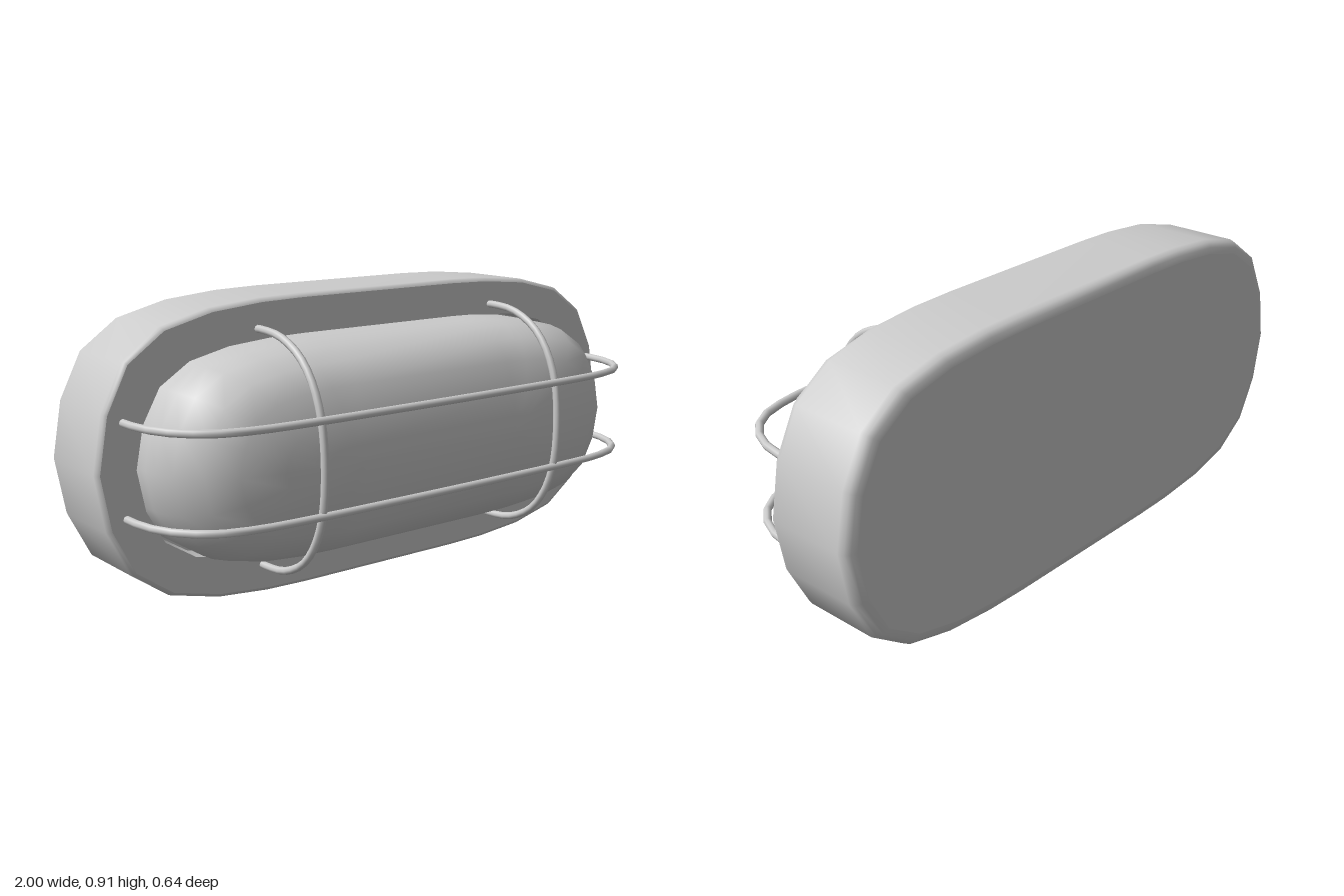
import * as THREE from 'three';
import { mergeGeometries } from 'three/addons/utils/BufferGeometryUtils.js';

const CY = 0.457; // height of the long axis
const FLAT = 0.3; // half length of the straight middle
const material = new THREE.MeshStandardMaterial({ color: 0xcccccc });

// quarter of the rounded end, in units of the end's own size
const QUARTER = [[1, 0], [0.957, 0.374], [0.857, 0.68], [0.686, 0.868], [0.457, 0.957], [0.21, 0.992], [0, 1]];

// closed outline, counter-clockwise seen from the front
function outline(rx, ry, z) {
  const q = QUARTER.map(([u, v]) => [FLAT + u * (rx - FLAT), v * ry]);
  const upper = [...q, ...q.slice().reverse().map(([x, y]) => [-x, y])];
  const lower = upper.slice(1, -1).reverse().map(([x, y]) => [x, -y]);
  return [...upper, ...lower].map(([x, y]) => [x, CY + y, z]);
}

// smooth skin through a list of [half width, half height, z] sections
function loft(sections) {
  const rings = sections.map((s) => outline(...s));
  const n = rings[0].length;
  const index = [];
  for (let i = 0; i < rings.length - 1; i++) {
    for (let j = 0; j < n; j++) {
      const a = i * n + j, b = i * n + (j + 1) % n;
      index.push(a, b, b + n, a, b + n, a + n);
    }
  }
  const g = new THREE.BufferGeometry();
  g.setAttribute('position', new THREE.Float32BufferAttribute(rings.flat(2), 3));
  g.setIndex(index);
  g.computeVertexNormals();
  return g;
}

function add(group, name, geometry) {
  const mesh = new THREE.Mesh(geometry, material);
  mesh.name = name;
  group.add(mesh);
}

// symmetric wire hoop: half profile of [distance from middle, z], ending at the middle
function hoop(half, place) {
  const pts = [...half, ...half.slice(0, -1).reverse().map(([d, z]) => [-d, z])];
  const curve = new THREE.CatmullRomCurve3(pts.map(([d, z]) => place(d, z)), false, 'centripetal');
  return new THREE.TubeGeometry(curve, 32, 0.012, 8);
}

export function createModel() {
  const group = new THREE.Group();

  // housing: flat back, rounded edges, front rim and a shallow recess for the lens
  add(group, 'housing', mergeGeometries([
    loft([[FLAT, 0, -0.32], [0.96, 0.415, -0.32]]),
    loft([[0.96, 0.415, -0.32], [0.98, 0.435, -0.316], [0.994, 0.449, -0.304], [1, 0.455, -0.285],
      [1, 0.455, -0.04], [0.997, 0.452, -0.027], [0.988, 0.443, -0.022]]),
    loft([[0.988, 0.443, -0.022], [0.876, 0.335, -0.022]]),
    loft([[0.876, 0.335, -0.022], [0.87, 0.33, -0.08]]),
    loft([[0.87, 0.33, -0.08], [0.85, 0.31, -0.08]]),
  ]));

  // domed lens
  add(group, 'lens', loft([
    [0.862, 0.326, -0.09], [0.862, 0.326, 0], [0.858, 0.324, 0.05], [0.838, 0.314, 0.115],
    [0.783, 0.28, 0.19], [0.7, 0.217, 0.24], [0.57, 0.12, 0.272], [0.43, 0.05, 0.283], [FLAT, 0, 0.285],
  ]));

  // wire guard: two long hoops and two short ones
  const long = [[0.912, -0.04], [0.912, 0.02], [0.9, 0.1], [0.86, 0.185], [0.79, 0.25],
    [0.68, 0.285], [0.5, 0.299], [0.25, 0.304], [0, 0.306]];
  const short = [[0.362, -0.04], [0.362, 0.02], [0.351, 0.1], [0.307, 0.19],
    [0.24, 0.25], [0.14, 0.292], [0, 0.306]];
  for (const s of [1, -1]) {
    add(group, s > 0 ? 'upperGuardWire' : 'lowerGuardWire',
      hoop(long, (d, z) => new THREE.Vector3(d, CY + 0.002 + s * 0.139, z)));
    add(group, s > 0 ? 'leftGuardWire' : 'rightGuardWire',
      hoop(short, (d, z) => new THREE.Vector3(s * 0.463, CY + d, z)));
  }
  return group;
}
